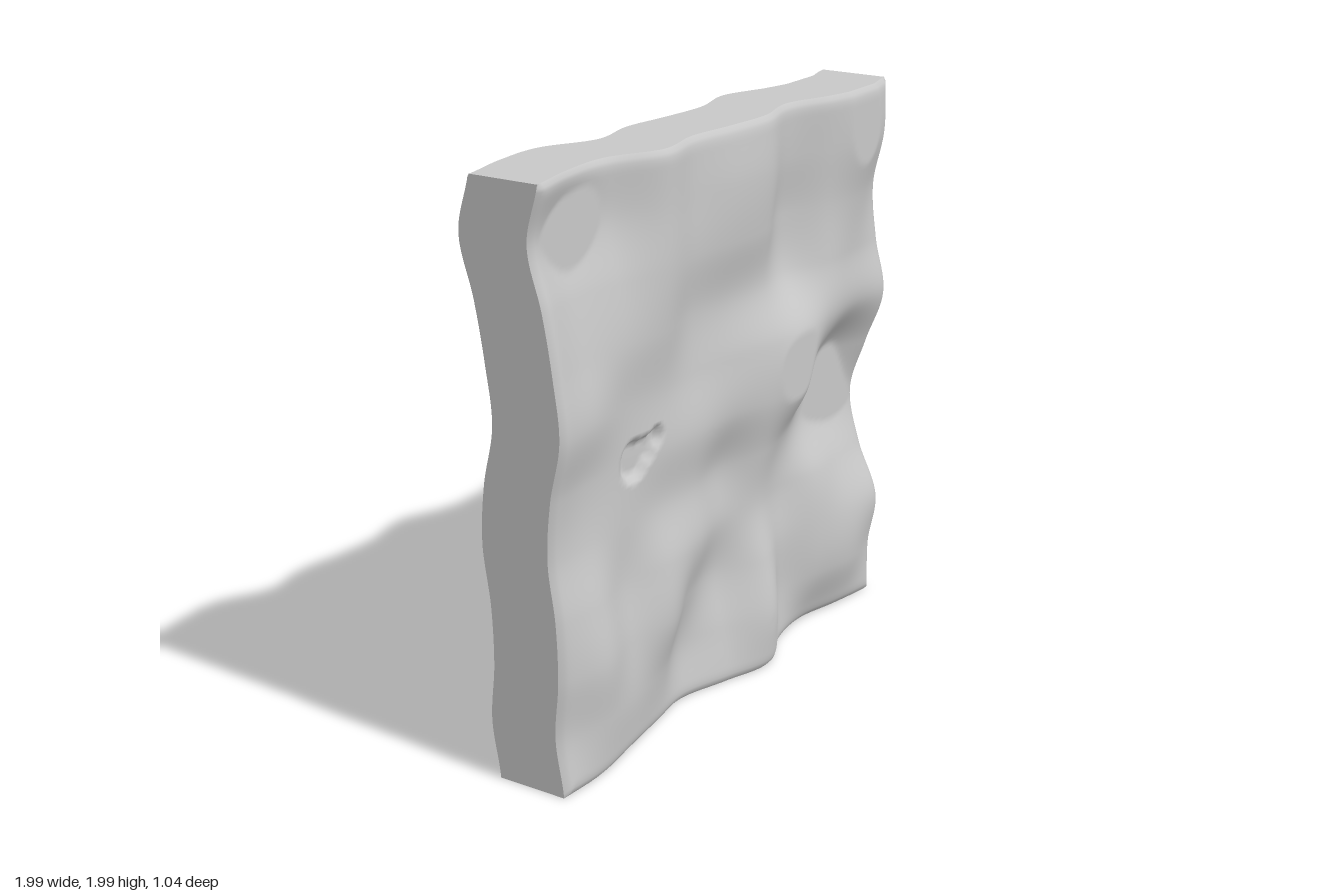
import * as THREE from 'three';

// Relief heights of the slab, rows from bottom to top, columns from left to right
const RELIEF = [
  [0.045, 0.05, 0.02, -0.01, -0.035, 0.02, 0.07, -0.01, -0.035, 0.005, 0.035],
  [0.015, 0.06, 0.035, 0.01, -0.055, -0.01, 0.08, -0.02, 0.025, 0.055, 0.03],
  [0.03, 0.075, 0.025, 0.055, -0.02, -0.045, 0.045, -0.015, 0.035, 0.055, 0.06],
  [0.025, 0.045, 0, 0.045, 0.025, -0.02, 0.005, -0.03, 0.01, -0.01, -0.02],
  [0, 0.005, 0, 0.005, 0, -0.03, 0.025, -0.01, -0.06, -0.085, -0.06],
  [0.015, 0, 0, 0.02, 0.025, 0.03, 0.07, 0.085, -0.02, -0.075, 0.005],
  [0.055, 0.03, 0.005, 0.01, 0, 0.025, 0.065, 0.08, 0.065, 0.045, 0.07],
  [0.035, 0, 0.015, 0.03, -0.01, 0, 0.01, -0.02, 0.045, 0.04, 0.03],
  [0, -0.04, -0.01, 0.04, 0.015, 0.035, 0.035, -0.035, 0.035, 0.055, 0.01],
  [-0.05, -0.09, -0.055, 0.035, 0.015, 0.045, 0.05, -0.01, 0.05, 0.095, 0.05],
  [-0.005, -0.04, -0.045, 0.04, 0.01, 0.03, 0.04, 0, 0.06, 0.09, 0.05],
];
// Small overlapping pits in the front: u, y, radius, depth
const PITS = [
  [-0.545, 1.0, 0.075, 0.03],
  [-0.49, 1.02, 0.05, 0.03],
  [-0.44, 1.05, 0.035, 0.025],
];
const LENGTH = 1.982, HEIGHT = 1.99, HALF = 0.144, ROUND = 0.05, PULL = 0.018;

const clamp = THREE.MathUtils.clamp;

// Smooth cubic through a row of evenly spaced values
function cubic(values, t) {
  const n = values.length - 1;
  const i = Math.min(Math.floor(t), n - 1), f = t - i;
  const at = (k) => values[clamp(k, 0, n)];
  const [a, b, c, d] = [at(i - 1), at(i), at(i + 1), at(i + 2)];
  return b + 0.5 * f * (c - a + f * (2 * a - 5 * b + 4 * c - d + f * (3 * (b - c) + d - a)));
}

// Wavy offset, cut flat at its highest and lowest spots
function relief(u, y) {
  const tu = clamp((u + 1) * 5, 0, 10), ty = clamp(y * 5, 0, 10);
  return clamp(cubic(RELIEF.map((row) => cubic(row, tu)), ty), -0.063, 0.08);
}

function pitDepth(u, y) {
  let depth = 0;
  for (const [pu, py, r, d] of PITS) {
    const q = Math.hypot(u - pu, y - py) / r;
    if (q < 1) depth = Math.max(depth, d * Math.min(1, 2 * (1 - q * q)));
  }
  return depth;
}

export function createModel() {
  const group = new THREE.Group();
  group.name = 'wavySlab';
  const stone = new THREE.MeshStandardMaterial({ color: 0xc8c8c8 });
  stone.name = 'stone grey';

  // Slab: both broad faces follow the same relief, with softened rims
  const geometry = new THREE.BoxGeometry(LENGTH, HEIGHT, HALF * 2, 150, 150, 4);
  geometry.translate(0, HEIGHT / 2, 0);
  const pos = geometry.attributes.position;
  for (let i = 0; i < pos.count; i++) {
    const u = pos.getX(i), y = pos.getY(i), z = pos.getZ(i);
    const edge = Math.min(LENGTH / 2 - Math.abs(u), y, HEIGHT - y);
    const k = clamp(1 - edge / ROUND, 0, 1);
    const half = HALF - PULL * (1 - Math.sqrt(1 - k * k));
    let v = (z / HALF) * half + relief(u, y);
    if (z > HALF - 1e-4) v -= pitDepth(u, y);
    pos.setZ(i, v);
  }
  geometry.computeVertexNormals();

  const slab = new THREE.Mesh(geometry, stone);
  slab.name = 'slab';
  slab.rotation.y = THREE.MathUtils.degToRad(20);
  group.add(slab);
  return group;
}
